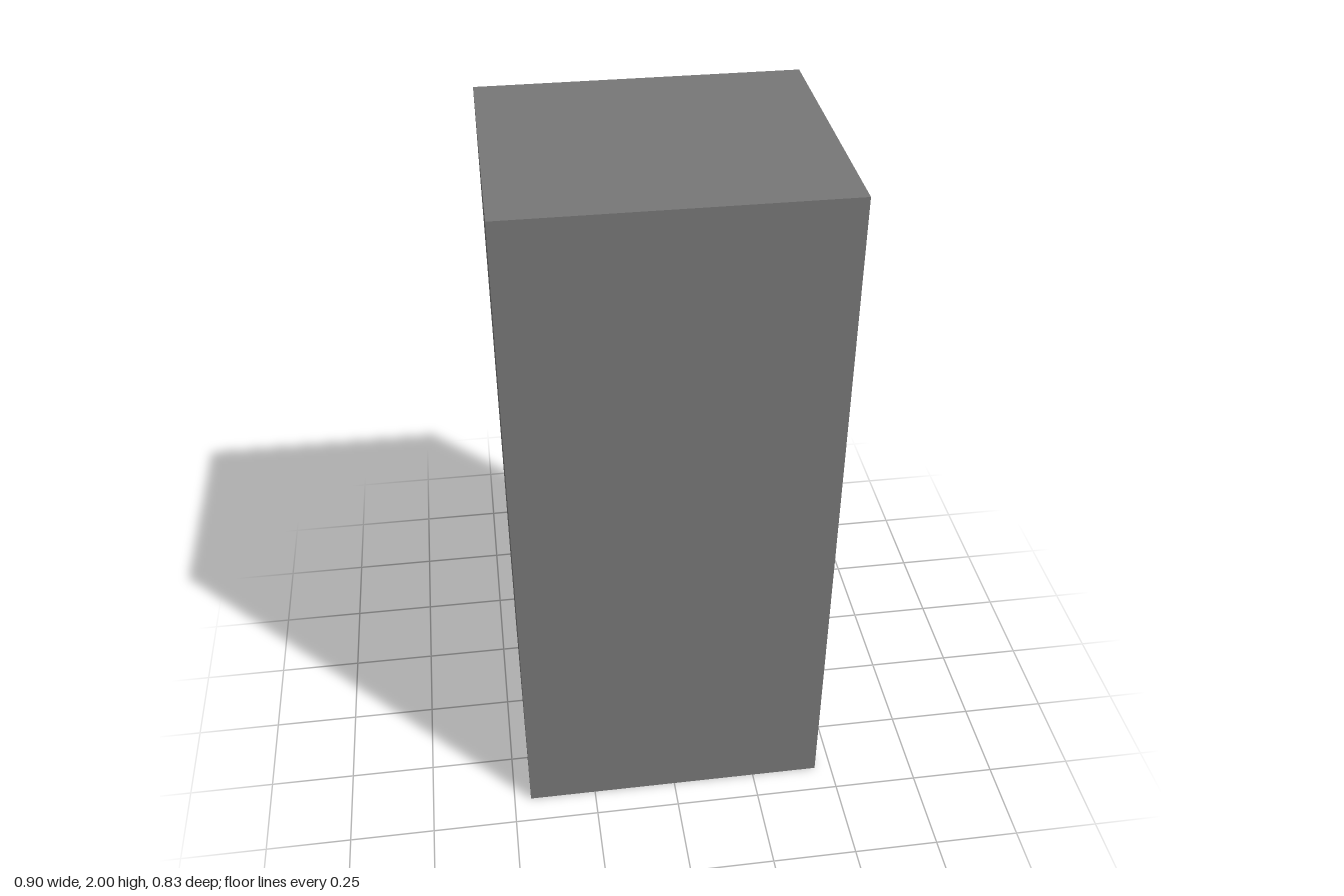
import * as THREE from 'three';

export function createModel() {
  const group = new THREE.Group();
  const grey = new THREE.MeshStandardMaterial({ color: 0x777777, flatShading: true });
  const black = new THREE.MeshStandardMaterial({ color: 0x0a0a0a });

  // Side profile (depth, height) swept along +x, with depth pointing to -z
  const sweep = (name, shape, width, x, material) => {
    const geo = new THREE.ExtrudeGeometry(shape, { depth: width, bevelEnabled: false, curveSegments: 6 });
    geo.rotateY(Math.PI / 2).translate(x, 0, 0);
    const mesh = new THREE.Mesh(geo, material);
    mesh.name = name;
    group.add(mesh);
  };

  // Cabinet with the gap between the two doors
  const back = -0.417, face = 0.363, gap = 0.335;
  const cabinet = new THREE.Shape([
    [back, 0], [face, 0], [face, 1.23], [gap, 1.23],
    [gap, 1.268], [face, 1.268], [face, 2], [back, 2],
  ].map(([d, y]) => new THREE.Vector2(d, y)));
  sweep('cabinet', cabinet, 0.9, -0.45, grey);

  // Loop with rounded outer corners, flat against the door
  const loop = (path, d0, d1, y0, y1, r, ry) => {
    path.moveTo(d0, y0);
    path.lineTo(d1 - r, y0);
    path.quadraticCurveTo(d1, y0, d1, y0 + ry);
    path.lineTo(d1, y1 - ry);
    path.quadraticCurveTo(d1, y1, d1 - r, y1);
    path.lineTo(d0, y1);
    path.closePath();
    return path;
  };

  // Door handles
  for (const [name, y] of [['lowerHandle', 0.68], ['upperHandle', 1.297]]) {
    const shape = loop(new THREE.Shape(), 0.36, 0.417, y, y + 0.517, 0.04, 0.06);
    shape.holes.push(loop(new THREE.Path(), 0.371, 0.406, y + 0.06, y + 0.457, 0.03, 0.035));
    sweep(name, shape, 0.054, 0.326, black);
  }
  return group;
}
